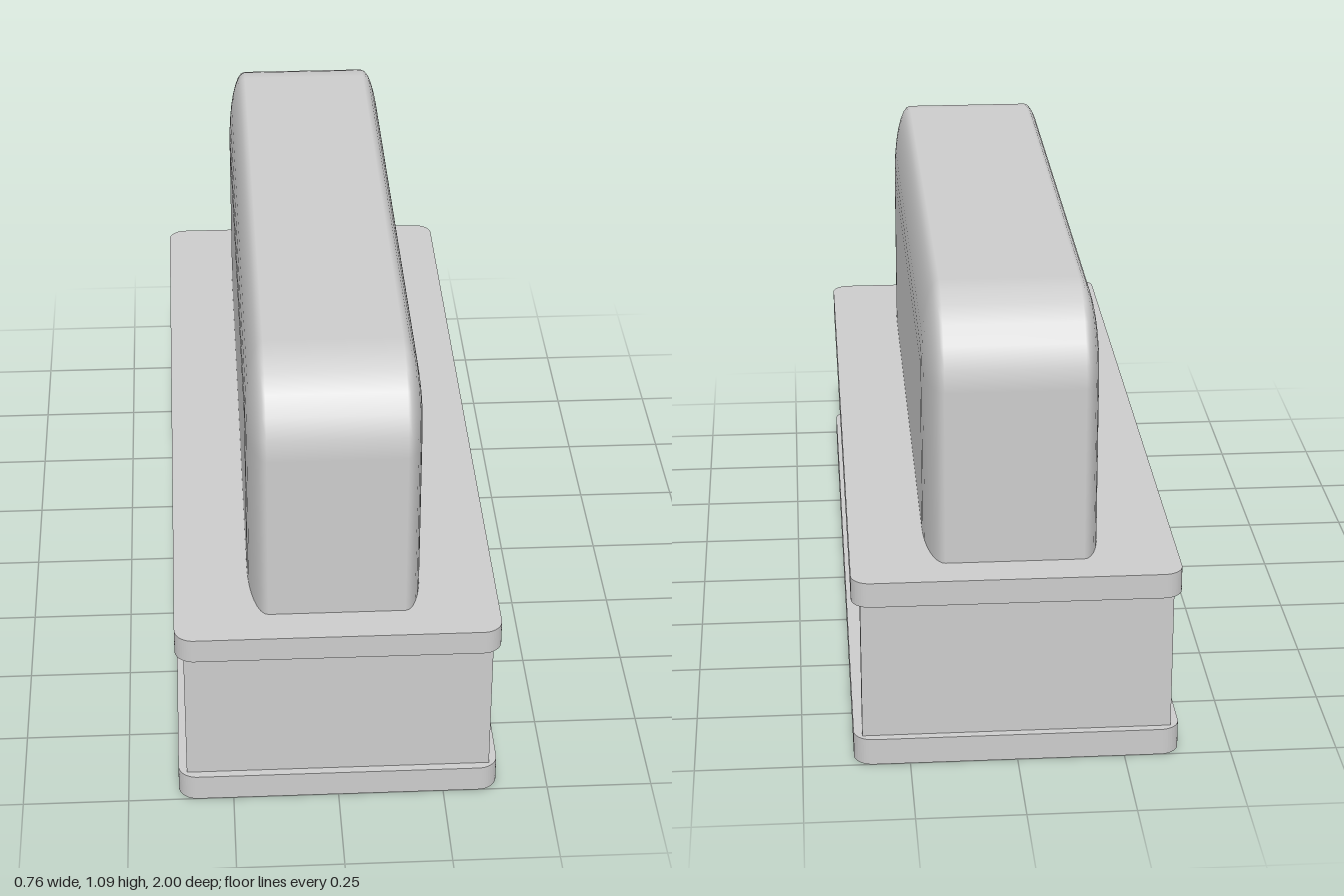
import * as THREE from 'three';

const material = new THREE.MeshStandardMaterial({ color: 0xcccccc });

function add(group, name, geometry, x = 0, y = 0, z = 0) {
  const mesh = new THREE.Mesh(geometry, material);
  mesh.name = name;
  mesh.position.set(x, y, z);
  group.add(mesh);
}

// Flat slab with rounded vertical corners, resting on its local y = 0
function slabGeometry(w, d, h, r) {
  const x = w / 2, z = d / 2;
  const s = new THREE.Shape();
  s.absarc(x - r, z - r, r, 0, Math.PI / 2);
  s.absarc(r - x, z - r, r, Math.PI / 2, Math.PI);
  s.absarc(r - x, r - z, r, Math.PI, Math.PI * 1.5);
  s.absarc(x - r, r - z, r, Math.PI * 1.5, Math.PI * 2);
  const geo = new THREE.ExtrudeGeometry(s, { depth: h, bevelEnabled: false, curveSegments: 6 });
  return geo.rotateX(-Math.PI / 2);
}

// Arched body: the arch outline shrinks towards both sides along an elliptical edge
function bodyGeometry() {
  const bottom = 0.465, top = 1.085, halfZ = 0.905, flatX = 0.16, edgeX = 0.045, edge = 0.2;
  const steps = 8, arcSteps = 6;
  const pos = [], nor = [], idx = [];

  const rings = [];
  for (const side of [-1, 1]) {
    for (let i = 0; i <= steps; i++) {
      const t = (side < 0 ? steps - i : i) / steps * Math.PI / 2;
      rings.push({ side, t });
    }
  }
  const ringSize = 2 * (arcSteps + 1) + 2;
  for (const { side, t } of rings) {
    const r = edge * Math.cos(t), inset = edge - r;
    const cz = halfZ - edge, cy = top - inset - r;
    const put = (z, y, a) => {
      pos.push(side * (flatX + edgeX * Math.sin(t)), y, z);
      const n = new THREE.Vector3(side * Math.sin(t) / edgeX,
        Math.sin(a) * Math.cos(t) / edge, Math.cos(a) * Math.cos(t) / edge).normalize();
      nor.push(n.x, n.y, n.z);
    };
    put(cz + r, bottom, 0);
    for (const end of [0, 1]) {
      for (let k = 0; k <= arcSteps; k++) {
        const a = (end + k / arcSteps) * Math.PI / 2;
        put((end ? -cz : cz) + r * Math.cos(a), cy + r * Math.sin(a), a);
      }
    }
    put(-cz - r, bottom, Math.PI);
  }

  // Skin between neighbouring rings
  for (let i = 0; i < rings.length - 1; i++) {
    for (let j = 0; j < ringSize - 1; j++) {
      const a = i * ringSize + j, b = a + ringSize;
      idx.push(a, b, a + 1, b, b + 1, a + 1);
    }
  }
  // Flat side faces
  const last = (rings.length - 1) * ringSize;
  for (let j = 1; j < ringSize - 1; j++) {
    idx.push(0, j, j + 1, last, last + j + 1, last + j);
  }

  const geo = new THREE.BufferGeometry();
  geo.setAttribute('position', new THREE.Float32BufferAttribute(pos, 3));
  geo.setAttribute('normal', new THREE.Float32BufferAttribute(nor, 3));
  geo.setIndex(idx);
  return geo;
}

export function createModel() {
  const model = new THREE.Group();
  model.name = 'model';

  // Base and lid plates
  add(model, 'basePlate', slabGeometry(0.76, 2, 0.065, 0.045));
  add(model, 'topPlate', slabGeometry(0.76, 2, 0.06, 0.045), 0, 0.405);

  // Recessed core with a wider panel at each end
  const h = 0.34, y = 0.065 + h / 2;
  add(model, 'core', new THREE.BoxGeometry(0.67, h, 1.87), 0, y);
  for (const s of [-1, 1]) {
    add(model, s > 0 ? 'frontPanel' : 'backPanel', new THREE.BoxGeometry(0.72, h, 0.045), 0, y, s * 0.9575);
  }

  // Rounded upper body
  add(model, 'upperBody', bodyGeometry());
  return model;
}
